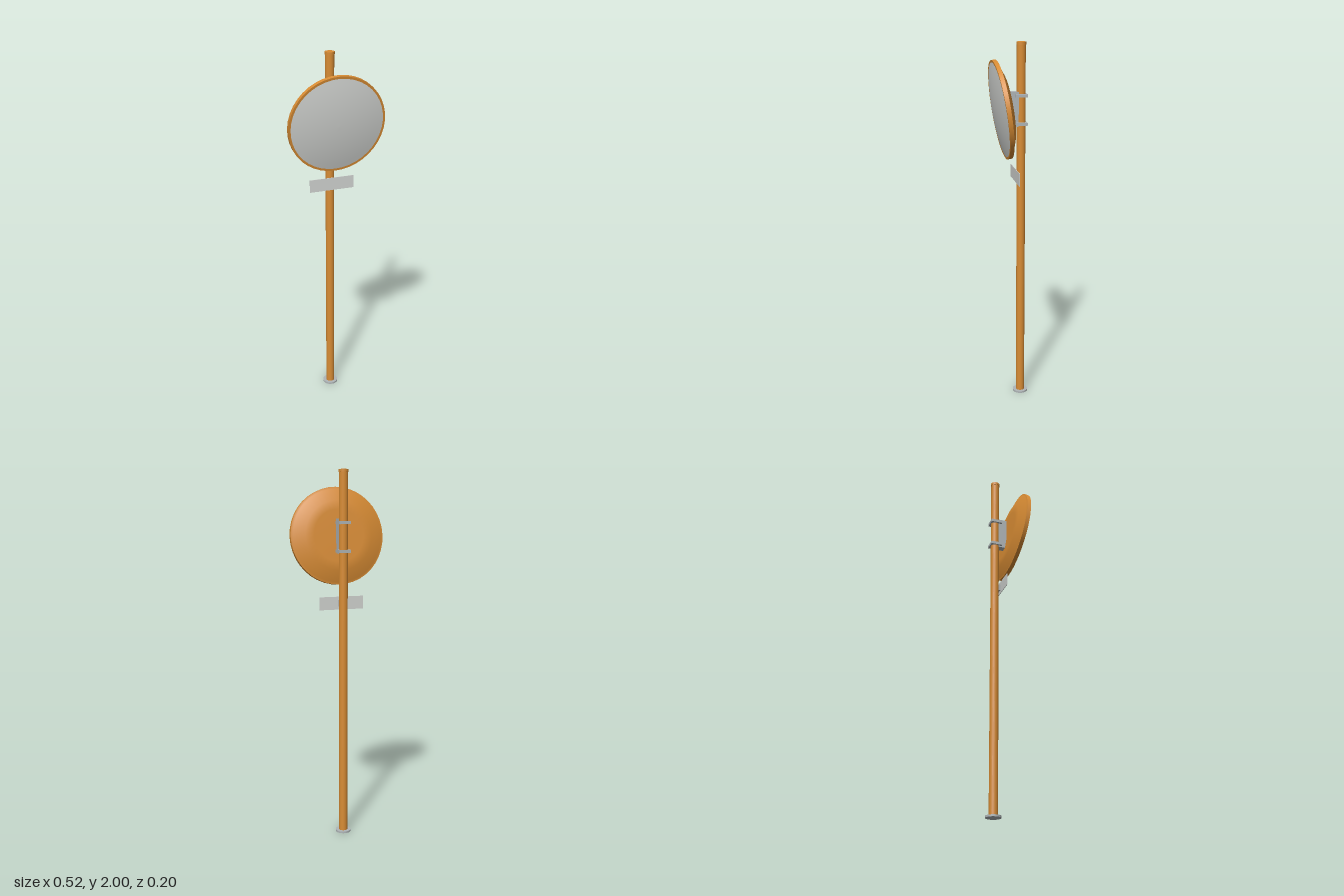
import * as THREE from 'three';

const POLE_Z = -0.057;

export function createModel() {
  const paint = (name, color) => {
    const m = new THREE.MeshStandardMaterial({ color });
    m.name = name;
    return m;
  };
  const orange = paint('orange paint', 0xd88c34);
  const metal = paint('galvanised metal', 0xb0b6b8);
  const silver = paint('mirror silver', 0xd2d4d1);

  const model = new THREE.Group();
  model.name = 'trafficMirror';

  const add = (name, geometry, material, x, y, z, parent = model) => {
    const mesh = new THREE.Mesh(geometry, material);
    mesh.name = name;
    mesh.position.set(x, y, z);
    parent.add(mesh);
    return mesh;
  };
  const box = (name, material, w, h, d, y, z) =>
    add(name, new THREE.BoxGeometry(w, h, d), material, 0, y, z);
  const tube = (name, material, r, y0, y1) =>
    add(name, new THREE.CylinderGeometry(r, r, y1 - y0, 24), material, 0, (y0 + y1) / 2, POLE_Z);

  // Post with foot plate and cap
  tube('basePlate', metal, 0.042, 0, 0.01);
  tube('pole', orange, 0.0235, 0.01, 1.985);
  tube('poleCap', orange, 0.026, 1.985, 2);

  // Mirror head: separate lathes keep the rim edges sharp
  const head = new THREE.Group();
  head.name = 'mirrorHead';
  head.position.set(0, 1.65, 0.052);
  head.rotation.x = Math.PI / 2 + 0.139; // lathe axis faces front, tipped down
  model.add(head);
  const lathe = (name, material, points) =>
    add(name, new THREE.LatheGeometry(points.map(([r, n]) => new THREE.Vector2(r, n)), 40),
      material, 0, 0, 0, head);

  lathe('mirrorBack', orange, [[0, -0.04], [0.14, -0.04], [0.187, -0.038], [0.25, -0.014], [0.262, -0.012]]);
  lathe('mirrorRim', orange, [[0.262, -0.012], [0.262, 0.01]]);
  lathe('rimFace', orange, [[0.262, 0.01], [0.25, 0.01]]);

  // Convex reflecting face
  const dome = [];
  for (let i = 0; i <= 8; i++) {
    const t = 1 - i / 8;
    dome.push([0.25 * t, 0.01 + 0.023 * (1 - t * t)]);
  }
  lathe('mirrorFace', silver, dome);

  // Bracket and two clamps around the post
  box('mirrorBracket', metal, 0.037, 0.185, 0.05, 1.652, -0.016);
  for (const y of [1.575, 1.725]) box('poleClamp', metal, 0.063, 0.016, 0.065, y, -0.0545);

  // Small blank sign below the mirror
  box('signPlate', silver, 0.248, 0.07, 0.003, 1.295, -0.0265);
  box('signMount', metal, 0.034, 0.034, 0.014, 1.295, -0.035);

  return model;
}
